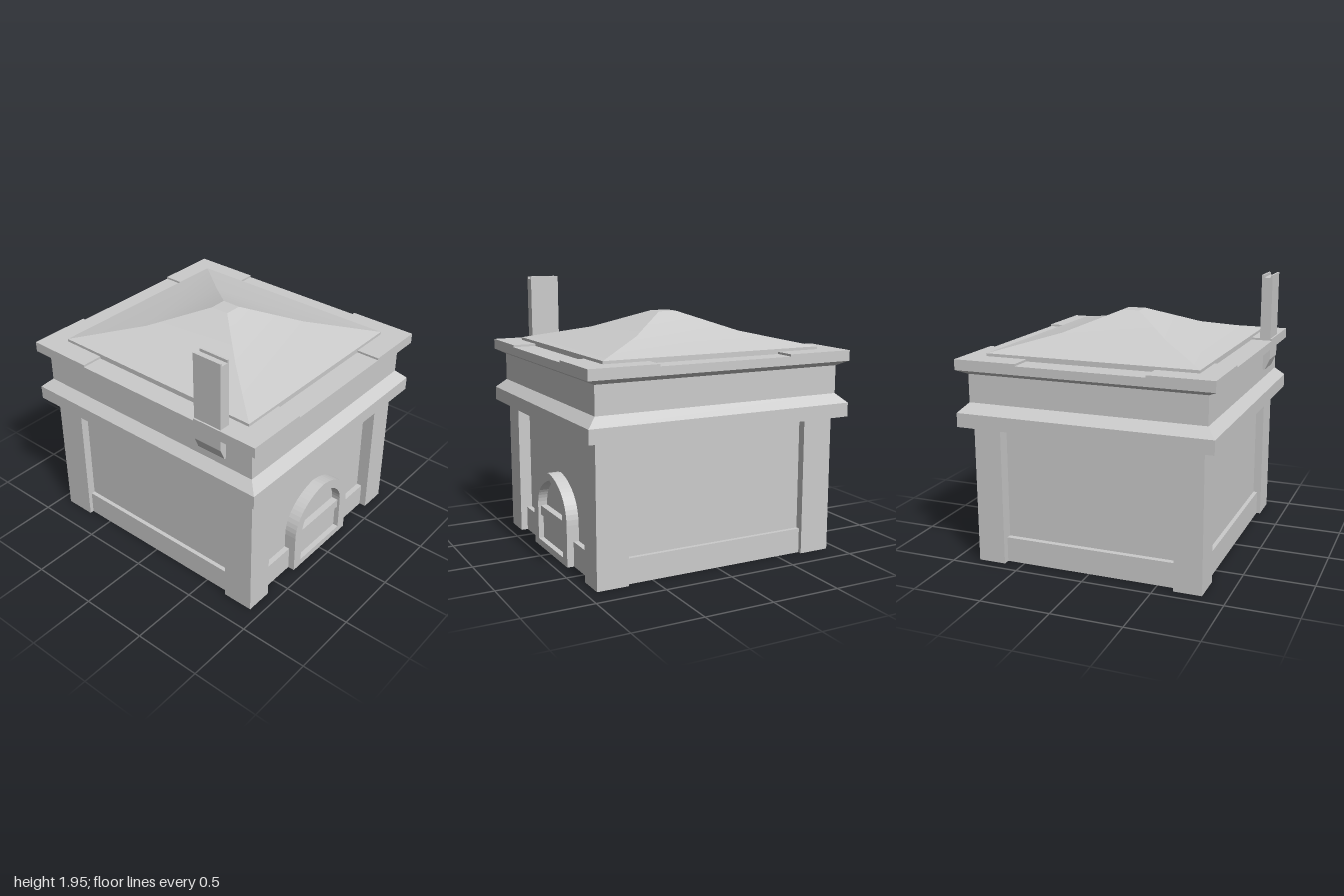
import * as THREE from 'three';

const material = new THREE.MeshStandardMaterial({ color: 0xcccccc });

function add(parent, name, geometry, x = 0, y = 0, z = 0) {
  const mesh = new THREE.Mesh(geometry, material);
  mesh.name = name;
  mesh.position.set(x, y, z);
  parent.add(mesh);
  return mesh;
}

// Box given by its min and max on each axis
function block(parent, name, [x0, x1], [y0, y1], [z0, z1]) {
  return add(parent, name, new THREE.BoxGeometry(x1 - x0, y1 - y0, z1 - z0),
    (x0 + x1) / 2, (y0 + y1) / 2, (z0 + z1) / 2);
}

// Stack of rectangular rings [halfX, halfZ, y], closed at both ends
function rectLoft(rings, smooth) {
  const pos = [], index = [];
  const corners = [[-1, 1], [1, 1], [1, -1], [-1, -1]];
  const point = ([hx, hz, y], c) => pos.push(corners[c][0] * hx, y, corners[c][1] * hz);
  for (let c = 0; c < 4; c++) {
    const base = pos.length / 3;
    rings.forEach((ring, i) => {
      point(ring, c);
      point(ring, (c + 1) % 4);
      const a = base + i * 2;
      if (i < rings.length - 1) index.push(a, a + 1, a + 3, a, a + 3, a + 2);
    });
  }
  for (const [ring, up] of [[rings[0], false], [rings[rings.length - 1], true]]) {
    const a = pos.length / 3;
    for (let c = 0; c < 4; c++) point(ring, c);
    index.push(...(up ? [a, a + 1, a + 2, a, a + 2, a + 3] : [a, a + 2, a + 1, a, a + 3, a + 2]));
  }
  let geometry = new THREE.BufferGeometry();
  geometry.setAttribute('position', new THREE.Float32BufferAttribute(pos, 3));
  geometry.setIndex(index);
  if (!smooth) geometry = geometry.toNonIndexed();
  geometry.computeVertexNormals();
  return geometry;
}

// Extrude a shape drawn in (-z, y) along +x, from x0 to x1
function extrudeX(shape, x0, x1) {
  const geometry = new THREE.ExtrudeGeometry(shape, { depth: x1 - x0, bevelEnabled: false, curveSegments: 14 });
  geometry.rotateY(Math.PI / 2);
  geometry.translate(x0, 0, 0);
  return geometry;
}

// Slightly pointed arch outline
function archOutline(target, half, bottom, spring, top, peak) {
  const rise = top - spring;
  target.moveTo(-half, bottom);
  target.lineTo(half, bottom);
  target.lineTo(half, spring);
  target.bezierCurveTo(half, spring + rise * 0.6, half * 0.5, top - rise * peak, 0, top);
  target.bezierCurveTo(-half * 0.5, top - rise * peak, -half, spring + rise * 0.6, -half, spring);
  target.lineTo(-half, bottom);
  return target;
}

export function createModel() {
  const model = new THREE.Group();
  model.name = 'building';

  // Recessed walls, plinth and corner pillars
  block(model, 'walls', [-0.83, 0.83], [0, 1.02], [-0.77, 0.77]);
  block(model, 'plinth', [-0.87, 0.87], [0, 0.18], [-0.8, 0.8]);
  for (const sx of [-1, 1]) {
    for (const sz of [-1, 1]) {
      add(model, 'cornerPillar', new THREE.BoxGeometry(0.23, 1, 0.2), sx * 0.805, 0.5, sz * 0.73);
    }
  }

  // Ledge, frieze and cornice in one moulded band
  add(model, 'cornice', rectLoft([
    [1, 0.917, 1], [1, 0.917, 1.1], [0.93, 0.853, 1.165],
    [0.93, 0.853, 1.365], [1, 0.917, 1.4], [1, 0.917, 1.46],
  ], false));

  // Raised corners of the parapet
  for (const sx of [-1, 1]) {
    for (const sz of [-1, 1]) {
      add(model, 'parapetCorner', new THREE.BoxGeometry(0.5, 0.025, 0.457), sx * 0.75, 1.4625, sz * 0.6885);
    }
  }

  // Hipped roof with a concave slope and a small flat top
  block(model, 'roofEdge', [-0.83, 0.83], [1.45, 1.495], [-0.762, 0.762]);
  add(model, 'roof', rectLoft([
    [0.83, 0.762, 1.495], [0.41, 0.385, 1.592], [0.07, 0.065, 1.725],
  ], true));

  // Arched doorway on the left side
  const door = new THREE.Group();
  door.name = 'door';
  model.add(door);
  const frame = archOutline(new THREE.Shape(), 0.32, 0, 0.3, 0.6, 0.05);
  frame.holes.push(archOutline(new THREE.Path(), 0.24, 0.05, 0.3, 0.55, 0.18));
  add(door, 'doorFrame', extrudeX(frame, 0.8, 0.92));
  add(door, 'doorUpperPanel', extrudeX(archOutline(new THREE.Shape(), 0.24, 0.05, 0.3, 0.55, 0.18), 0.8, 0.85));
  block(door, 'doorLowerPanel', [0.8, 0.88], [0.05, 0.23], [-0.24, 0.24]);
  block(door, 'doorBar', [0.8, 0.9], [0.23, 0.3], [-0.24, 0.24]);

  // Chimney with a grooved top and a tapered foot
  const profile = [
    [0.905, 1.95], [0.89, 1.95], [0.89, 1.93], [0.84, 1.93], [0.84, 1.95], [0.825, 1.95],
    [0.825, 1.28], [0.862, 1.23], [0.87, 1.235], [0.905, 1.315],
  ];
  const chimney = new THREE.Shape(profile.map(([z, y]) => new THREE.Vector2(-z, y)));
  add(model, 'chimney', extrudeX(chimney, 0.5, 0.72));

  return model;
}
